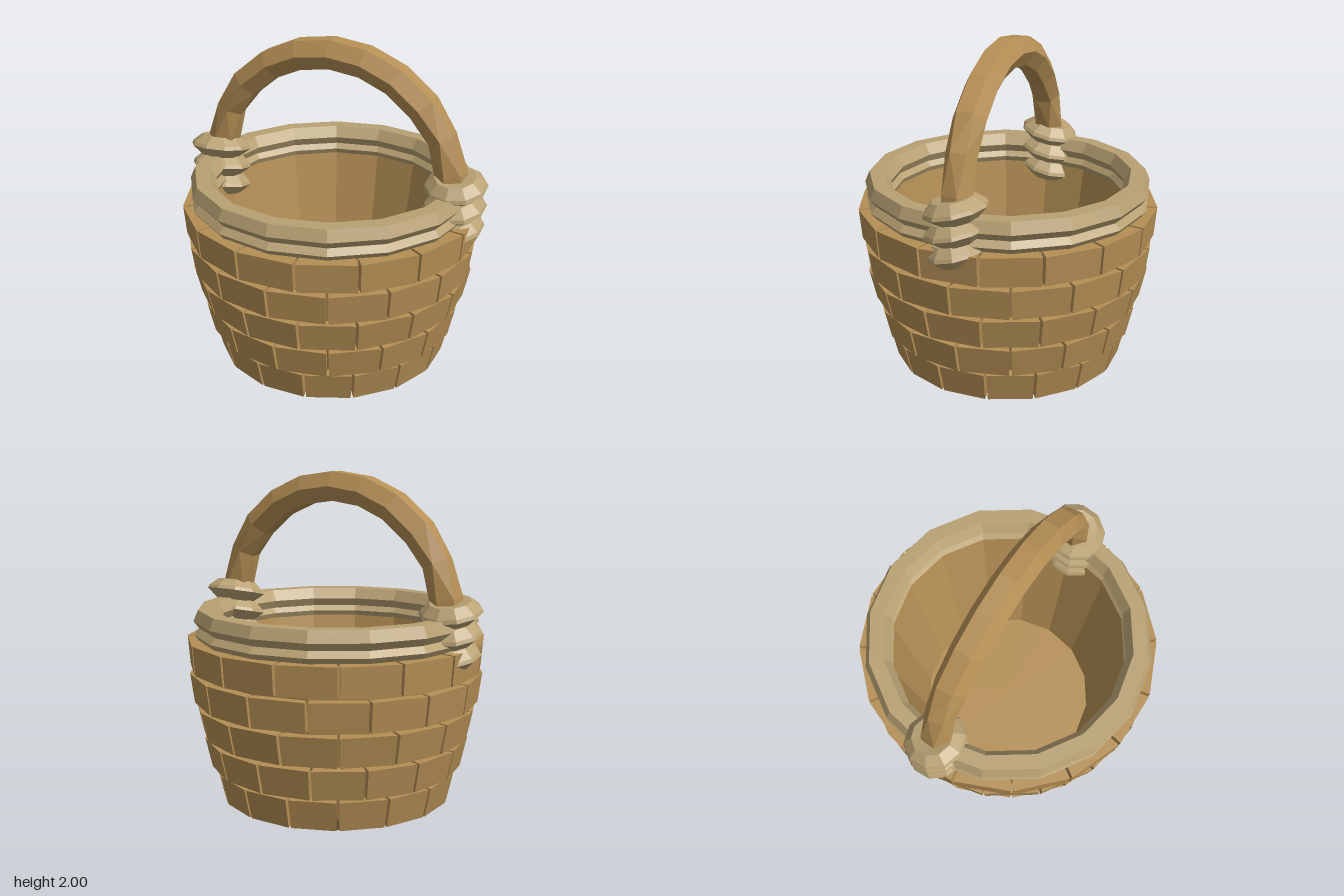
import * as THREE from 'three';

const SIDES = 16;
const wood = new THREE.MeshStandardMaterial({ color: 0xb58f55, flatShading: true });
const rope = new THREE.MeshStandardMaterial({ color: 0xb8a173, flatShading: true });

function addMesh(parent, name, geometry, material) {
  const mesh = new THREE.Mesh(geometry, material);
  mesh.name = name;
  parent.add(mesh);
  return mesh;
}

function lathe(points, sides = SIDES) {
  return new THREE.LatheGeometry(points.map(([r, y]) => new THREE.Vector2(r, y)), sides);
}

// One flat slat of a row: a box tapered to meet its neighbours around the basket
function slatGeometry(y0, y1, r0, r1) {
  const geo = new THREE.BoxGeometry(1, 1, 1);
  const p = geo.attributes.position;
  const slope = Math.tan(Math.PI / SIDES);
  for (let i = 0; i < p.count; i++) {
    const top = p.getY(i) > 0;
    const r = (top ? r1 : r0) - (p.getZ(i) > 0 ? 0 : 0.1);
    p.setXYZ(i, Math.sign(p.getX(i)) * (r * slope - 0.008), top ? y1 : y0, r);
  }
  geo.computeVertexNormals();
  return geo;
}

// Hexagonal bar following centre points [x, y, radius, twist] in the xy plane
function barGeometry(stations) {
  const n = 6, pos = [], index = [];
  stations.forEach(([x, y, r, twist], i) => {
    const a = stations[Math.max(i - 1, 0)], b = stations[Math.min(i + 1, stations.length - 1)];
    const len = Math.hypot(b[0] - a[0], b[1] - a[1]);
    const nx = -(b[1] - a[1]) / len, ny = (b[0] - a[0]) / len;
    for (let k = 0; k < n; k++) {
      const t = (k / n) * Math.PI * 2 + twist;
      pos.push(x + nx * r * Math.sin(t), y + ny * r * Math.sin(t), r * Math.cos(t));
    }
  });
  for (let i = 0; i < stations.length - 1; i++) {
    for (let k = 0; k < n; k++) {
      const a = i * n + k, b = i * n + ((k + 1) % n);
      index.push(a, a + n, b, b, a + n, b + n);
    }
  }
  const last = (stations.length - 1) * n;
  for (let k = 1; k < n - 1; k++) {
    index.push(0, k, k + 1, last, last + k + 1, last + k);
  }
  const geo = new THREE.BufferGeometry();
  geo.setAttribute('position', new THREE.Float32BufferAttribute(pos, 3));
  geo.setIndex(index);
  const flat = geo.toNonIndexed();
  flat.computeVertexNormals();
  return flat;
}

export function createModel() {
  const basket = new THREE.Group();
  basket.name = 'basket';

  // Shell: underside, outer wall behind the slats, inner wall and floor
  addMesh(basket, 'shell', lathe([
    [0, 0], [0.5, 0], [0.61, 0.1], [0.66, 0.26], [0.725, 0.455], [0.775, 0.655],
    [0.815, 0.85], [0.81, 1.04], [0.71, 1.06], [0.54, 0.08], [0, 0.08],
  ]), wood);

  // Five rows of slats, every other row shifted by half a slat
  const rows = [
    [0.075, 0.25, 0.68, 0.72],
    [0.27, 0.445, 0.74, 0.778],
    [0.47, 0.645, 0.79, 0.827],
    [0.667, 0.842, 0.832, 0.855],
    [0.865, 1.037, 0.855, 0.868],
  ];
  rows.forEach((row, i) => {
    const group = new THREE.Group();
    group.name = 'slatRow' + (i + 1);
    const geo = slatGeometry(...row);
    for (let k = 0; k < SIDES; k++) {
      const slat = addMesh(group, 'slat', geo, wood);
      slat.rotation.y = ((k + (i % 2) / 2) / SIDES) * Math.PI * 2;
    }
    basket.add(group);
  });

  // Two rope rings bound along the rim
  addMesh(basket, 'lowerRimRope', lathe([
    [0.71, 1.03], [0.81, 1.03], [0.84, 1.07], [0.81, 1.105], [0.72, 1.105], [0.69, 1.07], [0.71, 1.03],
  ]), rope);
  addMesh(basket, 'upperRimRope', lathe([
    [0.72, 1.095], [0.8, 1.095], [0.843, 1.15], [0.815, 1.215], [0.73, 1.215], [0.69, 1.15], [0.72, 1.095],
  ]), rope);

  // Arched handle, twisted and tapered where it enters the bindings
  const half = [
    [0.75, 1.1, 0.09, 0.9], [0.725, 1.31, 0.095, 0.9], [0.665, 1.51, 0.088, 0.15],
    [0.55, 1.675, 0.097, 0], [0.385, 1.81, 0.097, 0], [0.2, 1.89, 0.097, 0],
  ];
  const left = half.map(([x, y, r, t]) => [-x, y, r, -t]);
  const right = [...half].reverse();
  addMesh(basket, 'handle', barGeometry([...left, [0, 1.917, 0.097, 0], ...right]), wood);

  // Rope bindings holding the handle to the rim: tilted, stacked coils
  const coils = [[1.245, 0.183], [1.125, 0.181], [1.005, 0.175]];
  for (const side of [0, 1]) {
    const binding = new THREE.Group();
    binding.name = side ? 'rightBinding' : 'leftBinding';
    for (const [y, r] of coils) {
      const coil = addMesh(binding, 'coil', lathe([
        [0, -0.062], [0.115, -0.062], [r, -0.005], [r - 0.01, 0.015], [0.12, 0.062], [0, 0.05],
      ], 10), rope);
      coil.position.set(0.755, y, 0);
      coil.rotation.x = 0.23;
    }
    binding.rotation.y = side * Math.PI;
    basket.add(binding);
  }

  return basket;
}
